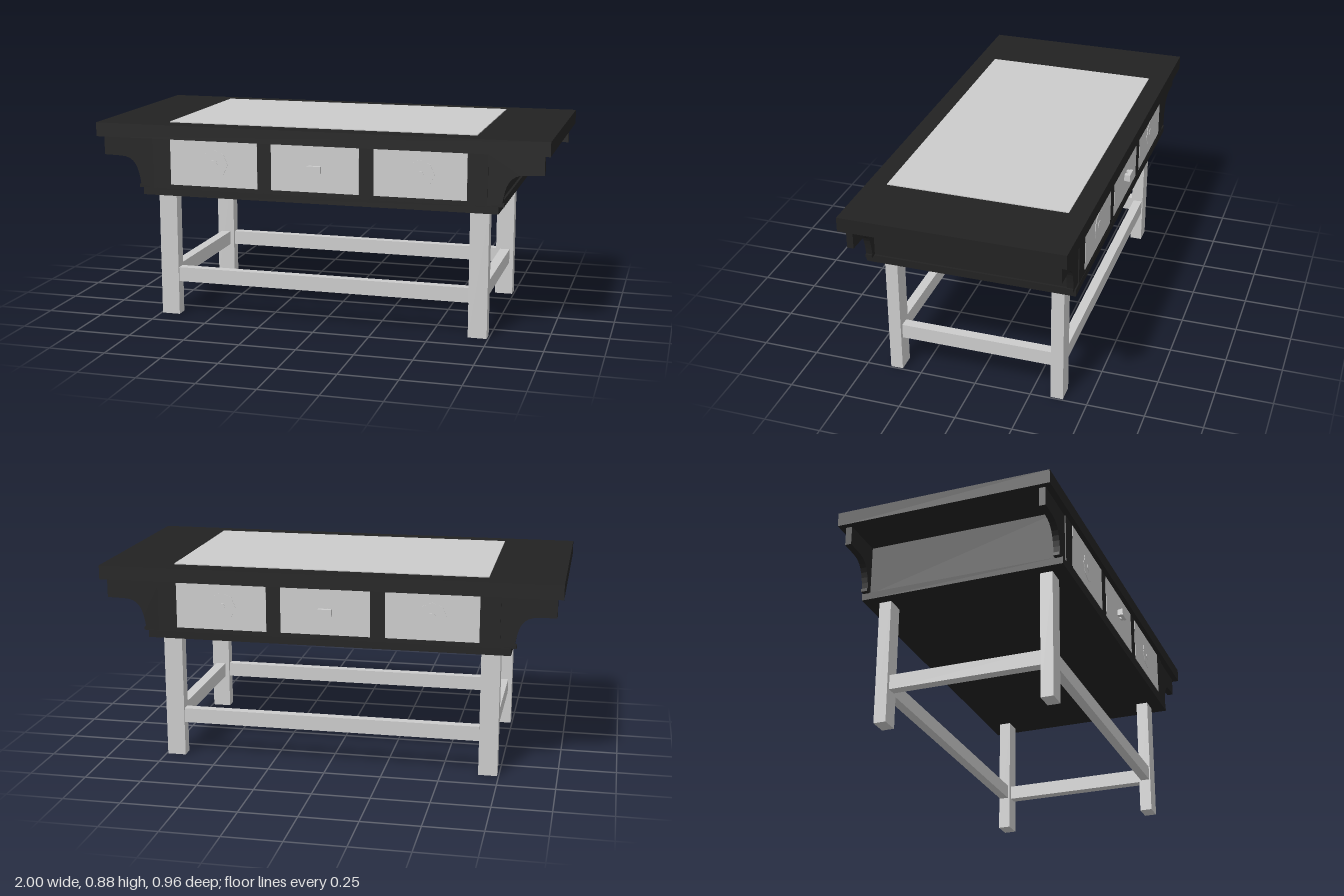
import * as THREE from 'three';

export function createModel() {
  const model = new THREE.Group();
  const grey = new THREE.MeshStandardMaterial({ color: 0xcccccc, flatShading: true });
  const dark = new THREE.MeshStandardMaterial({ color: 0x222222, flatShading: true });

  function add(name, geometry, material, parent = model) {
    const mesh = new THREE.Mesh(geometry, material);
    mesh.name = name;
    parent.add(mesh);
    return mesh;
  }
  // Box given by its min and max on each axis
  function box(name, [x0, x1], [y0, y1], [z0, z1], material, parent) {
    const mesh = add(name, new THREE.BoxGeometry(x1 - x0, y1 - y0, z1 - z0), material, parent);
    mesh.position.set((x0 + x1) / 2, (y0 + y1) / 2, (z0 + z1) / 2);
    return mesh;
  }

  // Table top with its pale inlay
  box('tableTop', [-1, 1], [0.814, 0.876], [-0.475, 0.475], dark);
  box('topInlay', [-0.685, 0.685], [0.87, 0.88], [-0.39, 0.39], grey);

  // Drawer case and its base board
  box('drawerCase', [-0.743, 0.743], [0.58, 0.814], [-0.453, 0.453], dark);
  box('baseBoard', [-0.79, 0.79], [0.56, 0.592], [-0.454, 0.454], dark);

  // Curved corner bracket, drawn in the x-y plane
  const outline = new THREE.Shape();
  outline.moveTo(0.735, 0.814);
  outline.lineTo(0.735, 0.59);
  outline.lineTo(0.812, 0.59);
  outline.lineTo(0.812, 0.604);
  outline.lineTo(0.804, 0.604);
  outline.bezierCurveTo(0.815, 0.68, 0.83, 0.728, 0.9, 0.728);
  outline.lineTo(0.975, 0.73);
  outline.lineTo(0.975, 0.814);
  outline.closePath();
  const bracketGeometry = new THREE.ExtrudeGeometry(outline, { depth: 0.028, bevelEnabled: false, curveSegments: 8 });
  bracketGeometry.translate(0, 0, 0.42);

  // Front and back are alike: one half turned round for the other
  for (const turn of [0, Math.PI]) {
    const side = new THREE.Group();
    side.name = turn ? 'backSide' : 'frontSide';
    side.rotation.y = turn;
    model.add(side);

    // Drawer fronts
    for (const [x0, x1] of [[-0.66, -0.26], [-0.197, 0.193], [0.257, 0.657]])
      box('drawerFront', [x0, x1], [0.61, 0.812], [0.44, 0.455], grey, side);

    // Eight-sided plates with a small centre stud
    for (const x of [-0.457, 0.457]) {
      const plate = add('drawerPlate', new THREE.CylinderGeometry(0.062, 0.062, 0.008, 8), grey, side);
      const stud = add('drawerStud', new THREE.CylinderGeometry(0.018, 0.018, 0.01, 5), grey, side);
      plate.rotation.x = stud.rotation.x = Math.PI / 2;
      plate.position.set(x, 0.712, 0.453);
      stud.position.set(x, 0.712, 0.454);
    }

    // Middle pull: two short posts and a bar
    for (const x of [-0.018, 0.018])
      box('pullPost', [x - 0.01, x + 0.01], [0.698, 0.726], [0.45, 0.468], grey, side);
    box('pullBar', [-0.03, 0.03], [0.697, 0.727], [0.466, 0.481], grey, side);

    // End panel
    box('endPanel', [0.73, 0.78], [0.585, 0.814], [-0.44, 0.44], dark, side);

    // Long stretcher
    box('longStretcher', [-0.66, 0.66], [0.153, 0.218], [0.347, 0.388], grey, side);

    // Short stretcher
    box('shortStretcher', [0.68, 0.725], [0.153, 0.218], [-0.338, 0.338], grey, side);

    for (const s of [-1, 1]) {
      // Legs
      const x = s * 0.702;
      box('leg', [x - 0.041, x + 0.041], [0, 0.565], [0.338, 0.393], grey, side);

      // Corner brackets; a half turn makes the mirrored one
      const bracket = add('cornerBracket', bracketGeometry, dark, side);
      if (s < 0) {
        bracket.rotation.y = Math.PI;
        bracket.position.z = 0.868;
      }
    }
  }
  return model;
}
